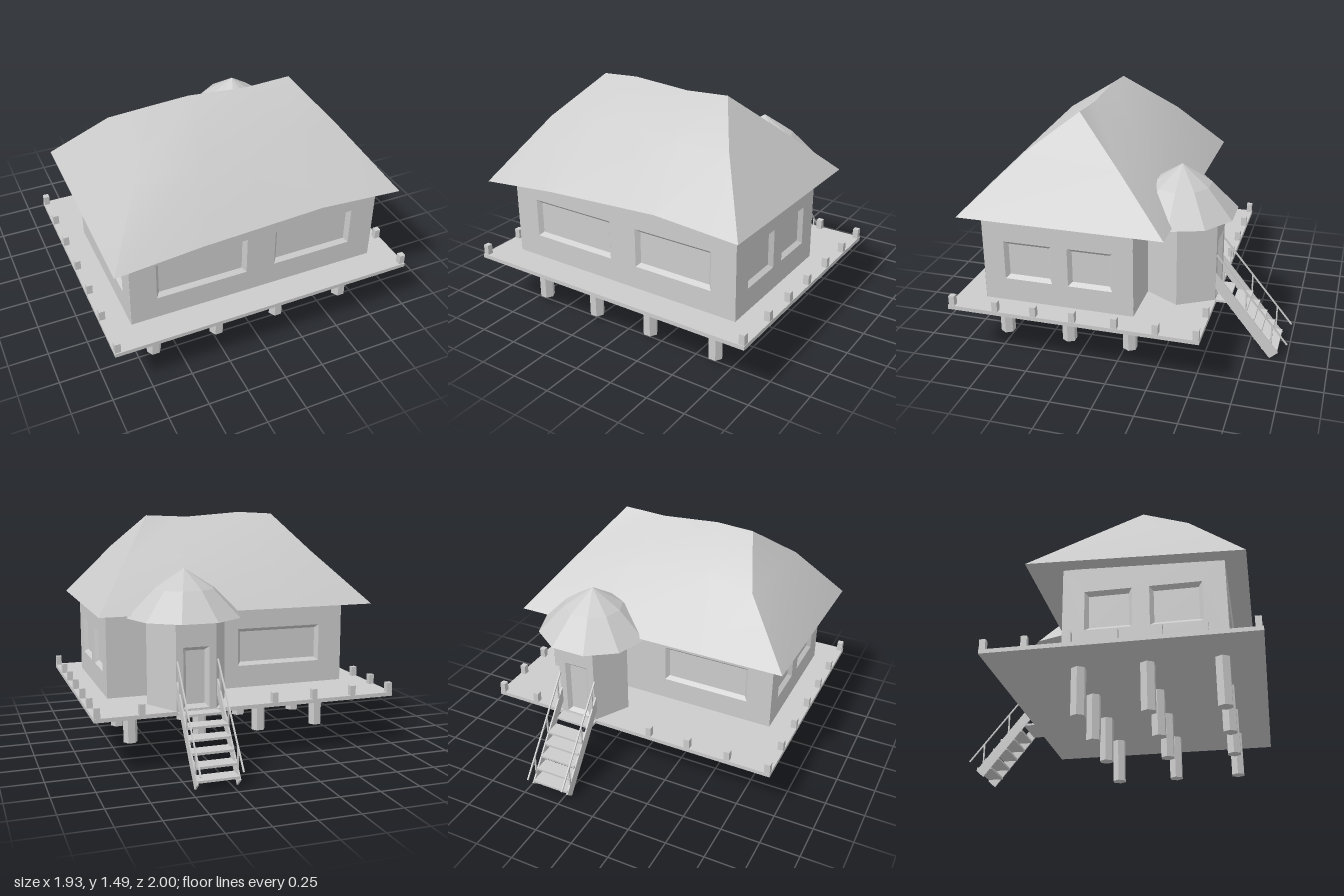
import * as THREE from 'three';

const smooth = new THREE.MeshStandardMaterial({ color: 0xcccccc, side: THREE.DoubleSide });
const flat = new THREE.MeshStandardMaterial({ color: 0xcccccc, side: THREE.DoubleSide, flatShading: true });

function add(parent, name, geometry, material = flat, x = 0, y = 0, z = 0) {
  const mesh = new THREE.Mesh(geometry, material);
  mesh.name = name;
  mesh.position.set(x, y, z);
  parent.add(mesh);
  return mesh;
}

// Skin through rows of points; rows run bottom to top, points left to right
function surface(rows) {
  const n = rows[0].length, index = [];
  for (let r = 0; r < rows.length - 1; r++) {
    for (let c = 0; c < n - 1; c++) {
      const a = r * n + c;
      index.push(a, a + 1, a + n + 1, a, a + n + 1, a + n);
    }
  }
  const g = new THREE.BufferGeometry();
  g.setAttribute('position', new THREE.Float32BufferAttribute(rows.flat(2), 3));
  g.setIndex(index);
  g.computeVertexNormals();
  return g;
}

// Wall facing its local +z, with bevelled recesses at [x0, x1, y0, y1]
function wall(name, width, y0, y1, openings, inset = 0.022, depth = 0.025) {
  const group = new THREE.Group();
  group.name = name;
  const rect = (a, b, c, d) => [[a, c], [b, c], [b, d], [a, d]];
  const toPoints = (pts) => pts.map(([x, y]) => new THREE.Vector2(x, y));
  const shape = new THREE.Shape(toPoints(rect(-width / 2, width / 2, y0, y1)));
  for (const [a, b, c, d] of openings) {
    const outer = rect(a, b, c, d);
    const inner = rect(a + inset, b - inset, c + inset, d - inset);
    shape.holes.push(new THREE.Path(toPoints(outer)));
    const loop = (pts, z) => [...pts, pts[0]].map(([x, y]) => [x, y, z]);
    add(group, 'frame', surface([loop(outer, 0), loop(inner, -depth)]));
    add(group, 'pane', new THREE.PlaneGeometry(b - a - 2 * inset, d - c - 2 * inset),
      flat, (a + b) / 2, (c + d) / 2, -depth);
  }
  add(group, 'wallPanel', new THREE.ShapeGeometry(shape));
  return group;
}

function place(parent, group, x, z, angle) {
  group.position.set(x, 0, z);
  group.rotation.y = angle;
  parent.add(group);
}

function createHouse() {
  const house = new THREE.Group();
  house.name = 'house';
  const front = [[-0.64, -0.065, 0.505, 0.75], [0.12, 0.64, 0.505, 0.75]];
  const side = [[-0.335, -0.035, 0.505, 0.75], [0.065, 0.34, 0.505, 0.75]];
  const sideMirrored = side.map(([a, b, c, d]) => [-b, -a, c, d]);
  place(house, wall('frontWall', 1.605, 0.36, 0.93, front), 0, 0.817, 0);
  place(house, wall('leftWall', 0.937, 0.36, 0.93, side), 0.802, 0.348, Math.PI / 2);
  place(house, wall('rightWall', 0.937, 0.36, 0.93, sideMirrored), -0.803, 0.348, -Math.PI / 2);
  place(house, wall('backWall', 1.605, 0.36, 0.93, [[0.065, 0.64, 0.505, 0.75]]), 0, -0.12, Math.PI);
  return house;
}

// Hipped roof with a slightly sagging eave and ridge
function createRoof() {
  const roof = new THREE.Group();
  roof.name = 'mainRoof';
  const frontEave = [[-0.92, 0.855, 0.94], [-0.4, 0.905, 0.94], [0.35, 0.945, 0.94], [0.88, 0.91, 0.94]];
  const frontMid = [[-0.66, 1.24, 0.61], [-0.3, 1.28, 0.63], [0.26, 1.26, 0.62], [0.61, 1.26, 0.59]];
  const ridge = [[-0.46, 1.473, 0.31], [-0.22, 1.487, 0.31], [0.15, 1.46, 0.31], [0.43, 1.473, 0.31]];
  const backMid = [[-0.605, 1.24, -0.04], [-0.3, 1.27, 0], [0.26, 1.24, 0], [0.65, 1.2, 0]];
  const backEave = [[-0.92, 0.905, -0.32], [-0.4, 0.905, -0.32], [0.35, 0.905, -0.32], [0.88, 0.905, -0.32]];
  const rev = (row) => [...row].reverse();
  add(roof, 'frontSlope', surface([frontEave, frontMid, ridge]), smooth);
  add(roof, 'backSlope', surface([rev(backEave), rev(backMid), rev(ridge)]), smooth);
  add(roof, 'leftSlope', surface([[frontEave[3], backEave[3]], [frontMid[3], backMid[3]], [ridge[3], ridge[3]]]), smooth);
  add(roof, 'rightSlope', surface([[backEave[0], frontEave[0]], [backMid[0], frontMid[0]], [ridge[0], ridge[0]]]), smooth);
  add(roof, 'soffit', surface([backEave, frontEave]), smooth);
  return roof;
}

// Six-sided entrance with the door facing the stairs
function createEntrance() {
  const entrance = new THREE.Group();
  entrance.name = 'entrance';
  const apothem = 0.215, width = 2 * apothem * Math.tan(Math.PI / 6);
  for (let i = 1; i < 6; i++) {
    const angle = i * Math.PI / 3;
    const door = i === 3 ? [[-0.08, 0.08, 0.37, 0.74]] : [];
    place(entrance, wall(i === 3 ? 'doorWall' : 'entranceWall', width, 0.36, 0.9, door),
      0.35 + apothem * Math.sin(angle), -0.33 + apothem * Math.cos(angle), angle);
  }
  const profile = [[0, 0.89], [0.352, 0.89], [0.185, 1.06], [0, 1.18]].map(([r, y]) => new THREE.Vector2(r, y));
  const cap = new THREE.LatheGeometry(profile, 10);
  cap.rotateY(Math.PI / 10);
  cap.scale(1.02, 1, 0.98);
  add(entrance, 'entranceRoof', cap, flat, 0.35, 0, -0.3);
  return entrance;
}

function createDeck() {
  const deck = new THREE.Group();
  deck.name = 'deck';
  add(deck, 'deckFloor', new THREE.BoxGeometry(1.93, 0.025, 1.55), flat, 0, 0.3475, 0.225);
  // Short posts along both sides and the back edge
  const post = new THREE.BoxGeometry(0.036, 0.065, 0.036);
  for (const z of [0.975, 0.695, 0.452, 0.21, -0.047, -0.293, -0.53]) {
    for (const x of [-0.945, 0.945]) add(deck, 'edgePost', post, flat, x, 0.39, z);
  }
  for (const x of [-0.685, -0.42, -0.155, 0.68]) add(deck, 'edgePost', post, flat, x, 0.39, -0.53);
  // Hexagonal stilts
  const stilt = new THREE.CylinderGeometry(0.046, 0.046, 0.295, 6);
  stilt.rotateY(Math.PI / 6);
  for (const x of [-0.655, -0.235, 0.18, 0.645]) {
    for (const z of [0.765, 0.345, -0.053]) add(deck, 'stilt', stilt, flat, x, 0.1925, z);
  }
  return deck;
}

function createStairs() {
  const stairs = new THREE.Group();
  stairs.name = 'stairs';
  // Stringer outline in (-z, y), extruded across x
  const outline = [[0.545, 0.437], [0.895, 0], [0.945, 0.045], [0.545, 0.54]];
  const stringer = new THREE.ExtrudeGeometry(
    new THREE.Shape(outline.map(([u, y]) => new THREE.Vector2(u, y))), { depth: 0.01, bevelEnabled: false });
  stringer.rotateY(Math.PI / 2);
  const rail = new THREE.BoxGeometry(0.009, 0.009, Math.hypot(0.45, 0.55));
  for (const x of [0.217, 0.468]) {
    add(stairs, 'stringer', stringer, flat, x - 0.005, 0, 0);
    add(stairs, 'handrail', rail, flat, x, 0.385, -0.772).rotation.x = -Math.atan2(0.55, 0.45);
    for (const [z, y] of [[-0.59, 0.535], [-0.735, 0.355], [-0.9, 0.155]]) {
      add(stairs, 'railPost', new THREE.BoxGeometry(0.009, 0.15, 0.009), flat, x, y, z);
    }
  }
  for (const y of [0.06, 0.122, 0.187, 0.25, 0.31, 0.35]) {
    const z = y === 0.35 ? -0.58 : -0.92 + (y - 0.025) / 1.253;
    add(stairs, 'tread', new THREE.BoxGeometry(0.25, 0.014, 0.1), flat, 0.3425, y, z);
  }
  return stairs;
}

export function createModel() {
  const model = new THREE.Group();
  model.name = 'stiltHouse';
  model.add(createDeck(), createHouse(), createRoof(), createEntrance(), createStairs());
  return model;
}
